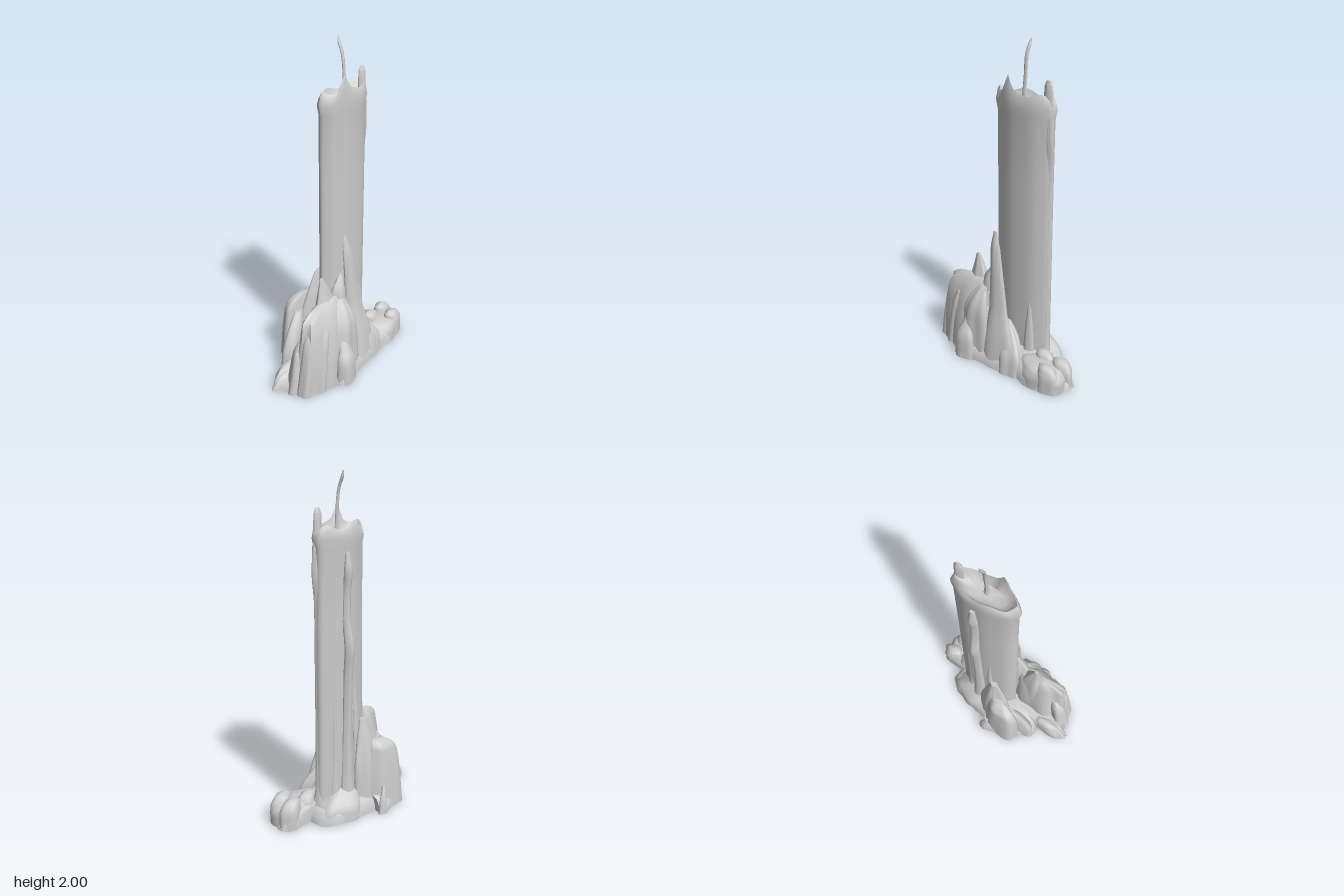
import * as THREE from 'three';
import { toCreasedNormals } from 'three/addons/utils/BufferGeometryUtils.js';

const wax = new THREE.MeshStandardMaterial({ color: 0xcccccc });
const TAU = Math.PI * 2;

// Skin over closed rings of [x, y, z] points, listed bottom to top, with both ends capped
function skin(name, rings, crease = 1.0) {
  const n = rings[0].length, pos = [], idx = [];
  rings.forEach(r => r.forEach(p => pos.push(...p)));
  for (let i = 0; i < rings.length - 1; i++) for (let j = 0; j < n; j++) {
    const k = (j + 1) % n, a = i * n + j, b = i * n + k;
    idx.push(a, a + n, b, b, a + n, b + n);
  }
  const cap = (ring, start, top) => {
    const c = pos.length / 3;
    pos.push(...[0, 1, 2].map(q => ring.reduce((s, p) => s + p[q], 0) / n));
    for (let j = 0; j < n; j++) {
      const a = start + j, b = start + (j + 1) % n;
      if (top) idx.push(c, b, a); else idx.push(c, a, b);
    }
  };
  cap(rings[0], 0, false);
  cap(rings[rings.length - 1], (rings.length - 1) * n, true);
  const g = new THREE.BufferGeometry();
  g.setAttribute('position', new THREE.Float32BufferAttribute(pos, 3));
  g.setIndex(idx);
  const mesh = new THREE.Mesh(toCreasedNormals(g, crease), wax);
  mesh.name = name;
  return mesh;
}

// Wax lobe: stations [y, x, z, radiusX, radiusZ], smoothed, with fluted sides
function lobe(name, stations, flutes = 5, depth = 0.08, phase = 0, turn = 0) {
  const spine = new THREE.CatmullRomCurve3(stations.map(s => new THREE.Vector3(s[1], s[0], s[2])), false, 'centripetal');
  const last = stations.length - 1, steps = last * 3, rings = [];
  for (let i = 0; i <= steps; i++) {
    const t = i / steps, f = t * last, k = Math.min(Math.floor(f), last - 1), u = f - k;
    const c = spine.getPoint(t), A = stations[k], B = stations[k + 1];
    const rx = A[3] + (B[3] - A[3]) * u, rz = A[4] + (B[4] - A[4]) * u;
    rings.push(Array.from({ length: 30 }, (_, j) => {
      const th = j / 30 * TAU;
      const w = 1 + depth * Math.sin(flutes * th + phase + t) + depth * 0.4 * Math.sin(3 * th - 4 * t);
      const x = Math.cos(th) * rx * w, z = Math.sin(th) * rz * w;
      return [c.x + x * Math.cos(turn) - z * Math.sin(turn), Math.max(c.y, 0), c.z + x * Math.sin(turn) + z * Math.cos(turn)];
    }));
  }
  return skin(name, rings);
}

// Flattened candle body with an uneven rim and a hollow top
function candleBody() {
  const profile = [ // y, scale, share of rim unevenness
    [0, 1.02, 0], [0.6, 1, 0], [1.2, 0.99, 0], [1.6, 0.99, 0], [1.65, 1.05, 0.2], [1.7, 0.98, 0.8],
    [1.715, 0.9, 1], [1.69, 0.8, 0.6], [1.665, 0.6, 0.1], [1.66, 0.25, 0],
  ];
  const rim = th => 0.075 * Math.exp(-(((th - 0.41) / 0.16) ** 2)) + 0.015 * Math.cos(th) + 0.012 * Math.sin(5 * th);
  return skin('candleBody', profile.map(([y, s, r]) => Array.from({ length: 48 }, (_, j) => {
    const th = j / 48 * TAU, c = Math.cos(th), d = Math.sin(th);
    const w = s * (1 + 0.012 * Math.sin(9 * th));
    return [-0.008 + 0.082 * w * Math.sign(c) * Math.abs(c) ** 1.12, y + r * rim(th), -0.1 + 0.198 * w * d];
  })), 0.8);
}

// Low spread of wax under everything
function apron() {
  const outline = [[0.25, 0.08], [0.29, 0.17], [0.27, 0.24], [0.21, 0.26], [0.19, 0.38], [0.17, 0.44], [0.07, 0.48],
    [0, 0.5], [-0.02, 0.54], [-0.08, 0.44], [-0.08, 0.32], [-0.13, 0.33], [-0.19, 0.25], [-0.25, 0.19], [-0.27, 0.08],
    [-0.29, 0], [-0.26, -0.03], [-0.22, -0.02], [-0.2, -0.12], [-0.15, -0.3], [-0.08, -0.37], [0, -0.36], [0.01, -0.48],
    [0.05, -0.54], [0.1, -0.54], [0.13, -0.5], [0.17, -0.51], [0.21, -0.46], [0.24, -0.3], [0.2, -0.2], [0.24, -0.1]];
  const levels = [[0.005, 1], [0.045, 0.98], [0.085, 0.9], [0.11, 0.72], [0.13, 0.4]];
  return skin('waxApron', levels.map(([y, s]) => outline.map(([x, z]) => [x * s, y, z * s])));
}

export function createModel() {
  const group = new THREE.Group();
  group.name = 'meltedCandle';
  group.add(candleBody(), apron());

  // Wick, a thin flattened strand bending to one side
  group.add(lobe('wick', [[1.64, 0.002, -0.1, 0.016, 0.02], [1.72, 0.004, -0.1, 0.009, 0.012], [1.82, -0.002, -0.103, 0.007, 0.011],
    [1.91, -0.012, -0.1, 0.006, 0.012], [1.96, -0.032, -0.1, 0.009, 0.011], [2, -0.045, -0.104, 0.003, 0.004]], 3, 0.03));

  // Runs of wax down the shaft
  group.add(lobe('backDrip', [[0.05, 0.0, -0.27, 0.05, 0.05], [0.2, 0, -0.272, 0.025, 0.03], [0.7, 0, -0.27, 0.022, 0.025],
    [1.3, 0, -0.27, 0.02, 0.027], [1.45, 0.003, -0.278, 0.022, 0.032], [1.6, 0.005, -0.268, 0.02, 0.034],
    [1.78, 0.004, -0.265, 0.015, 0.026], [1.81, 0.004, -0.265, 0.006, 0.014]], 4, 0.05));
  group.add(lobe('rightDrip', [[0.05, -0.1, -0.13, 0.04, 0.06], [0.3, -0.09, -0.13, 0.03, 0.04], [0.65, -0.093, -0.13, 0.025, 0.03],
    [0.9, -0.1, -0.13, 0.025, 0.03], [1.03, -0.11, -0.13, 0.028, 0.034], [1.18, -0.093, -0.135, 0.022, 0.028],
    [1.35, -0.09, -0.13, 0.02, 0.025], [1.47, -0.1, -0.13, 0.024, 0.03], [1.57, -0.095, -0.13, 0.01, 0.016]], 4, 0.06));
  for (const [x, z, top] of [[-0.06, -0.21, 1.3], [-0.09, -0.05, 0.8], [0.06, -0.2, 0.5]])
    group.add(lobe('thinDrip', [[0.05, x, z, 0.035, 0.04], [0.3, x, z, 0.018, 0.025], [top * 0.7, x, z, 0.014, 0.02],
      [top, x * 0.92, z, 0.004, 0.006]], 3, 0.05));

  // Tall flame-shaped ridge on the left side
  group.add(lobe('tallRidge', [[0, 0.17, -0.05, 0.07, 0.14], [0.2, 0.165, -0.04, 0.05, 0.11], [0.38, 0.145, -0.025, 0.035, 0.07],
    [0.6, 0.132, -0.005, 0.026, 0.05], [0.78, 0.12, 0.015, 0.018, 0.035], [0.88, 0.108, 0.025, 0.005, 0.012]], 4, 0.06));
  group.add(lobe('leftBackRun', [[0, 0.19, -0.15, 0.05, 0.08], [0.12, 0.17, -0.14, 0.05, 0.09], [0.22, 0.13, -0.1, 0.04, 0.06],
    [0.3, 0.11, -0.06, 0.02, 0.03]], 5, 0.1));

  // Main mound of wax at the front left
  group.add(lobe('frontMound', [[0, 0.1, 0.24, 0.12, 0.21], [0.2, 0.105, 0.23, 0.11, 0.2], [0.38, 0.11, 0.21, 0.08, 0.2],
    [0.46, 0.105, 0.2, 0.055, 0.19], [0.5, 0.1, 0.18, 0.035, 0.15], [0.52, 0.1, 0.15, 0.015, 0.1]], 7, 0.08, 1));
  group.add(lobe('moundPeak', [[0.1, 0.09, 0.18, 0.09, 0.13], [0.4, 0.085, 0.18, 0.055, 0.1], [0.55, 0.078, 0.185, 0.03, 0.05],
    [0.66, 0.073, 0.2, 0.006, 0.012]], 5, 0.08));
  group.add(lobe('innerPeak', [[0.1, 0.1, 0.06, 0.07, 0.09], [0.4, 0.1, 0.07, 0.055, 0.07], [0.55, 0.1, 0.07, 0.035, 0.05],
    [0.63, 0.1, 0.05, 0.01, 0.015]], 4, 0.08));
  group.add(lobe('moundShoulder', [[0, 0.17, 0.13, 0.08, 0.13], [0.2, 0.165, 0.13, 0.075, 0.12], [0.36, 0.165, 0.12, 0.06, 0.09],
    [0.44, 0.15, 0.11, 0.04, 0.06], [0.5, 0.13, 0.1, 0.015, 0.03]], 6, 0.1));
  group.add(lobe('leftFoot', [[0, 0.24, 0.175, 0.048, 0.075], [0.16, 0.238, 0.175, 0.044, 0.065], [0.22, 0.225, 0.17, 0.03, 0.04],
    [0.3, 0.2, 0.16, 0.012, 0.02]], 4, 0.05));

  // Rounded runs down the front face
  for (const [x, z, r, h] of [[0.06, 0.4, 0.05, 0.32], [0.13, 0.39, 0.045, 0.42], [0.17, 0.31, 0.04, 0.4], [0.03, 0.32, 0.04, 0.25]])
    group.add(lobe('frontRun', [[0, x, z + 0.03, r, r * 1.3], [h * 0.35, x, z + 0.015, r * 0.95, r * 1.1],
      [h * 0.8, x, z - 0.01, r * 0.7, r * 0.9], [h, x, z - 0.03, r * 0.25, r * 0.3]], 4, 0.08, x * 40));
  group.add(lobe('frontToe', [[0, -0.04, 0.4, 0.045, 0.13], [0.06, -0.04, 0.39, 0.045, 0.11], [0.11, -0.04, 0.37, 0.03, 0.08],
    [0.125, -0.04, 0.35, 0.01, 0.03]], 5, 0.06));

  // Mounds on the right side
  group.add(lobe('rightMound', [[0, -0.2, 0.1, 0.07, 0.14], [0.2, -0.195, 0.1, 0.06, 0.13], [0.34, -0.19, 0.1, 0.05, 0.11],
    [0.39, -0.185, 0.09, 0.045, 0.09], [0.43, -0.165, 0.07, 0.025, 0.05]], 5, 0.06, 2, 0.15));
  group.add(lobe('rightWeb', [[0.05, -0.14, 0.03, 0.06, 0.13], [0.3, -0.135, 0.02, 0.045, 0.11], [0.45, -0.12, 0.01, 0.035, 0.07],
    [0.57, -0.11, 0, 0.015, 0.03]], 4, 0.08));
  group.add(lobe('rightFrontRun', [[0, -0.135, 0.23, 0.05, 0.095], [0.12, -0.135, 0.225, 0.045, 0.085], [0.24, -0.14, 0.19, 0.035, 0.06],
    [0.33, -0.15, 0.15, 0.02, 0.03]], 4, 0.06));
  group.add(lobe('rightTip', [[0, -0.262, -0.005, 0.026, 0.03], [0.08, -0.262, 0, 0.018, 0.025], [0.16, -0.25, 0.02, 0.008, 0.01]], 3, 0.08));
  group.add(lobe('rightBackApron', [[0, -0.09, -0.2, 0.09, 0.16], [0.08, -0.09, -0.19, 0.085, 0.15], [0.14, -0.08, -0.16, 0.06, 0.11],
    [0.19, -0.06, -0.13, 0.03, 0.06]], 5, 0.06, 0, 0.3));

  // Low pool at the back
  group.add(lobe('backPool', [[0, 0.12, -0.36, 0.11, 0.165], [0.08, 0.12, -0.36, 0.11, 0.165], [0.12, 0.12, -0.36, 0.09, 0.14],
    [0.135, 0.12, -0.35, 0.05, 0.1]], 5, 0.06));
  for (const [x, z] of [[0.065, -0.46], [0.165, -0.43], [0.06, -0.33]])
    group.add(lobe('poolBump', [[0, x, z, 0.055, 0.075], [0.11, x, z, 0.052, 0.07], [0.155, x, z + 0.01, 0.035, 0.05],
      [0.17, x, z + 0.015, 0.012, 0.02]], 4, 0.06));
  return group;
}
